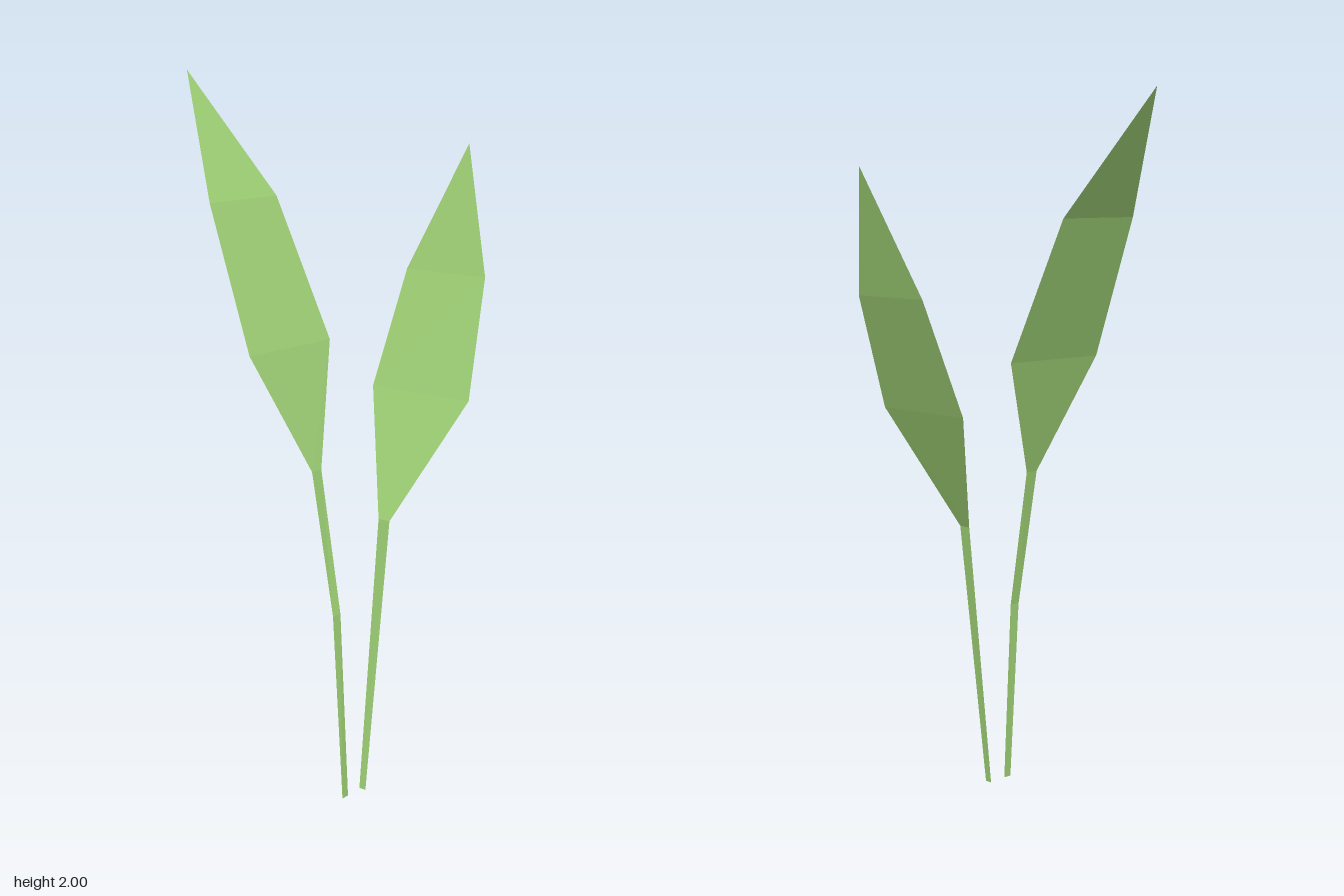
import * as THREE from 'three';

const leafGreen = new THREE.MeshStandardMaterial({ color: 0xa0d276, side: THREE.DoubleSide, flatShading: true });
leafGreen.name = 'leaf green';

// Thin ribbon through cross-sections [y, xLeft, zLeft, xRight, zRight]
function ribbon(name, sections) {
  const positions = [], index = [];
  sections.forEach(([y, xa, za, xb, zb], i) => {
    positions.push(xa, y, za, xb, y, zb);
    if (i === 0) return;
    const a = 2 * (i - 1);
    index.push(a, a + 1, a + 3);
    // a section that closes to a point needs only one triangle
    if (xa !== xb || za !== zb) index.push(a, a + 3, a + 2);
  });
  let geometry = new THREE.BufferGeometry();
  geometry.setAttribute('position', new THREE.Float32BufferAttribute(positions, 3));
  geometry.setIndex(index);
  geometry = geometry.toNonIndexed();
  geometry.computeVertexNormals();
  const mesh = new THREE.Mesh(geometry, leafGreen);
  mesh.name = name;
  return mesh;
}

// A leaf: the first sections form the stem, the rest the blade
function leaf(name, stemCount, sections) {
  const group = new THREE.Group();
  group.name = name;
  group.add(
    ribbon('stem', sections.slice(0, stemCount)),
    ribbon('blade', sections.slice(stemCount - 1))
  );
  return group;
}

export function createModel() {
  const model = new THREE.Group();
  model.name = 'sprout';

  // Tall leaf, bending to the right and back
  model.add(leaf('tallLeaf', 3, [
    [0, -0.003, 0.203, 0.014, 0.183],
    [0.53, -0.028, 0.182, -0.006, 0.161],
    [0.93, -0.082, 0.135, -0.055, 0.105],
    [1.26, -0.25, 0.17, -0.02, -0.08],
    [1.655, -0.35, 0.045, -0.164, -0.16],
    [2, -0.408, -0.198, -0.408, -0.198],
  ]));

  // Short leaf, bending to the left and back
  model.add(leaf('shortLeaf', 2, [
    [0, 0.05, 0.133, 0.066, 0.148],
    [0.775, 0.107, 0.065, 0.135, 0.093],
    [1.115, 0.107, -0.135, 0.35, 0.102],
    [1.44, 0.209, -0.204, 0.406, -0.011],
    [1.795, 0.379, -0.179, 0.379, -0.179],
  ].map(([y, xa, za, xb, zb]) => [y, xa, za, xb, zb])));

  return model;
}
